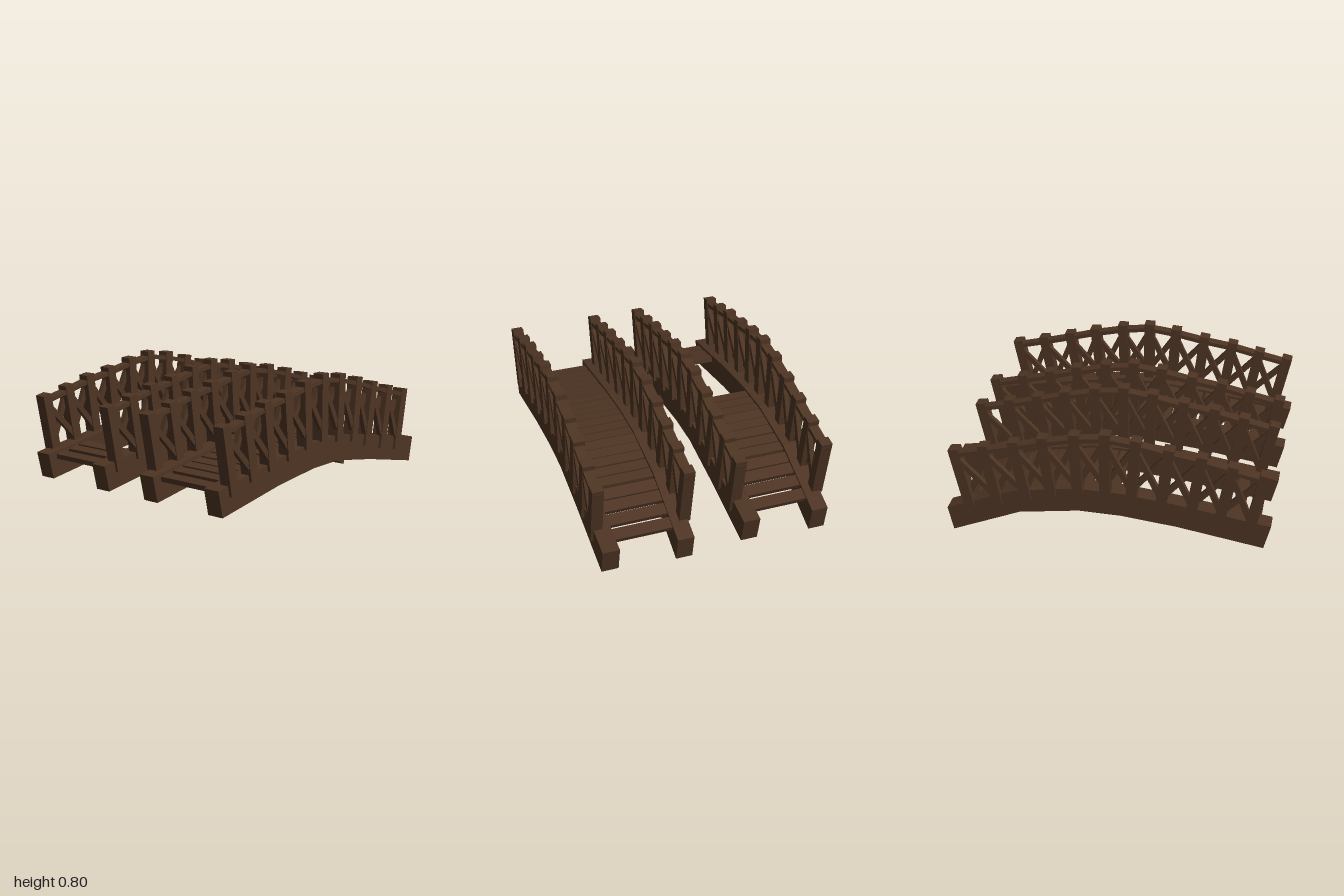
import * as THREE from 'three';

const wood = new THREE.MeshStandardMaterial({ color: 0x4d3423 });
wood.name = 'dark brown wood';

// Box running between two [x, y] points at depth z
function bar(name, a, b, width, depth, z) {
  const dx = b[0] - a[0], dy = b[1] - a[1];
  const mesh = new THREE.Mesh(new THREE.BoxGeometry(Math.hypot(dx, dy), width, depth), wood);
  mesh.position.set((a[0] + b[0]) / 2, (a[1] + b[1]) / 2, z);
  mesh.rotation.z = Math.atan2(dy, dx);
  mesh.name = name;
  return mesh;
}

const mix = (a, b, t) => [a[0] + (b[0] - a[0]) * t, a[1] + (b[1] - a[1]) * t];

// Arched side beam; the right end is given as [top, bottom]
function beam(name, end, z) {
  const outline = [
    [-1, 0.3], [-0.43, 0.378], [-0.13, 0.405], [0.13, 0.405], [0.5, 0.34],
    ...end,
    [0.48, 0.188], [0.12, 0.25], [-0.13, 0.25], [-0.46, 0.22], [-0.965, 0.145],
  ];
  const shape = new THREE.Shape(outline.map(p => new THREE.Vector2(p[0], p[1])));
  const geometry = new THREE.ExtrudeGeometry(shape, { depth: 0.1, bevelEnabled: false });
  geometry.translate(0, 0, z - 0.05);
  const mesh = new THREE.Mesh(geometry, wood);
  mesh.name = name;
  return mesh;
}

// Post axes as [top, bottom], fanning out along the arch
const posts = [
  [[-0.95, 0.645], [-0.877, 0.255]], [[-0.77, 0.68], [-0.705, 0.3]],
  [[-0.593, 0.72], [-0.54, 0.325]], [[-0.407, 0.745], [-0.365, 0.35]],
  [[-0.218, 0.78], [-0.193, 0.38]], [[-0.04, 0.8], [-0.04, 0.4]],
  [[0.138, 0.775], [0.122, 0.37]], [[0.325, 0.73], [0.283, 0.34]],
  [[0.5, 0.68], [0.432, 0.285]], [[0.68, 0.63], [0.61, 0.235]],
  [[0.86, 0.583], [0.785, 0.195]],
];

// Railing of posts, handrail and crossed braces
function railing(z) {
  const group = new THREE.Group();
  group.name = 'railing';
  posts.forEach(([top, bottom], i) => {
    group.add(bar('post', bottom, top, 0.062, 0.068, z));
    if (i === posts.length - 1) return;
    const [nextTop, nextBottom] = posts[i + 1];
    group.add(bar('handrail', mix(top, bottom, 0.1), mix(nextTop, nextBottom, 0.1), 0.025, 0.06, z));
    group.add(bar('brace', mix(top, bottom, 0.15), mix(nextTop, nextBottom, 0.87), 0.034, 0.028, z + 0.015));
    group.add(bar('brace', mix(top, bottom, 0.87), mix(nextTop, nextBottom, 0.15), 0.034, 0.028, z - 0.015));
  });
  // Handrail tips past the end posts
  group.add(bar('handrailTip', [-0.965, 0.603], [-0.94, 0.607], 0.025, 0.06, z));
  group.add(bar('handrailTip', [0.85, 0.55], [0.885, 0.542], 0.025, 0.06, z));
  return group;
}

// Deck height along the arch, and plank positions
const deckLine = [[-1, 0.28], [-0.43, 0.363], [-0.13, 0.39], [0.13, 0.39], [0.5, 0.32], [0.93, 0.145]];
const plankX = [-0.9, -0.8, -0.715, -0.635, -0.55, -0.47, -0.385, -0.3, -0.225, -0.145, -0.07,
  0.01, 0.09, 0.165, 0.237, 0.31, 0.39, 0.467, 0.55, 0.625, 0.71, 0.8];

function deck(isMissing) {
  const group = new THREE.Group();
  group.name = 'deck';
  for (const x of plankX) {
    if (isMissing(x)) continue;
    const i = deckLine.findIndex(p => p[0] > x);
    const a = deckLine[i - 1], b = deckLine[i];
    const slope = (b[1] - a[1]) / (b[0] - a[0]);
    const y = a[1] + (x - a[0]) * slope - 0.014;
    group.add(bar('plank', [x - 0.034, y - 0.034 * slope], [x + 0.034, y + 0.034 * slope], 0.03, 0.39, 0));
  }
  return group;
}

function bridge(name, z, isMissing) {
  const group = new THREE.Group();
  group.name = name;
  group.add(beam('frontBeam', [[1, 0.24], [0.965, 0.085]], 0.233));
  group.add(beam('backBeam', [[0.93, 0.155], [0.9, 0]], -0.233));
  group.add(railing(0.265), railing(-0.265), deck(isMissing));
  group.position.z = z;
  return group;
}

export function createModel() {
  const model = new THREE.Group();
  model.name = 'woodenFootbridges';
  model.add(bridge('wholeBridge', 0.42, () => false));
  // The second bridge has a gap in its deck
  model.add(bridge('brokenBridge', -0.42, x => x > -0.68 && x < -0.1));
  return model;
}
